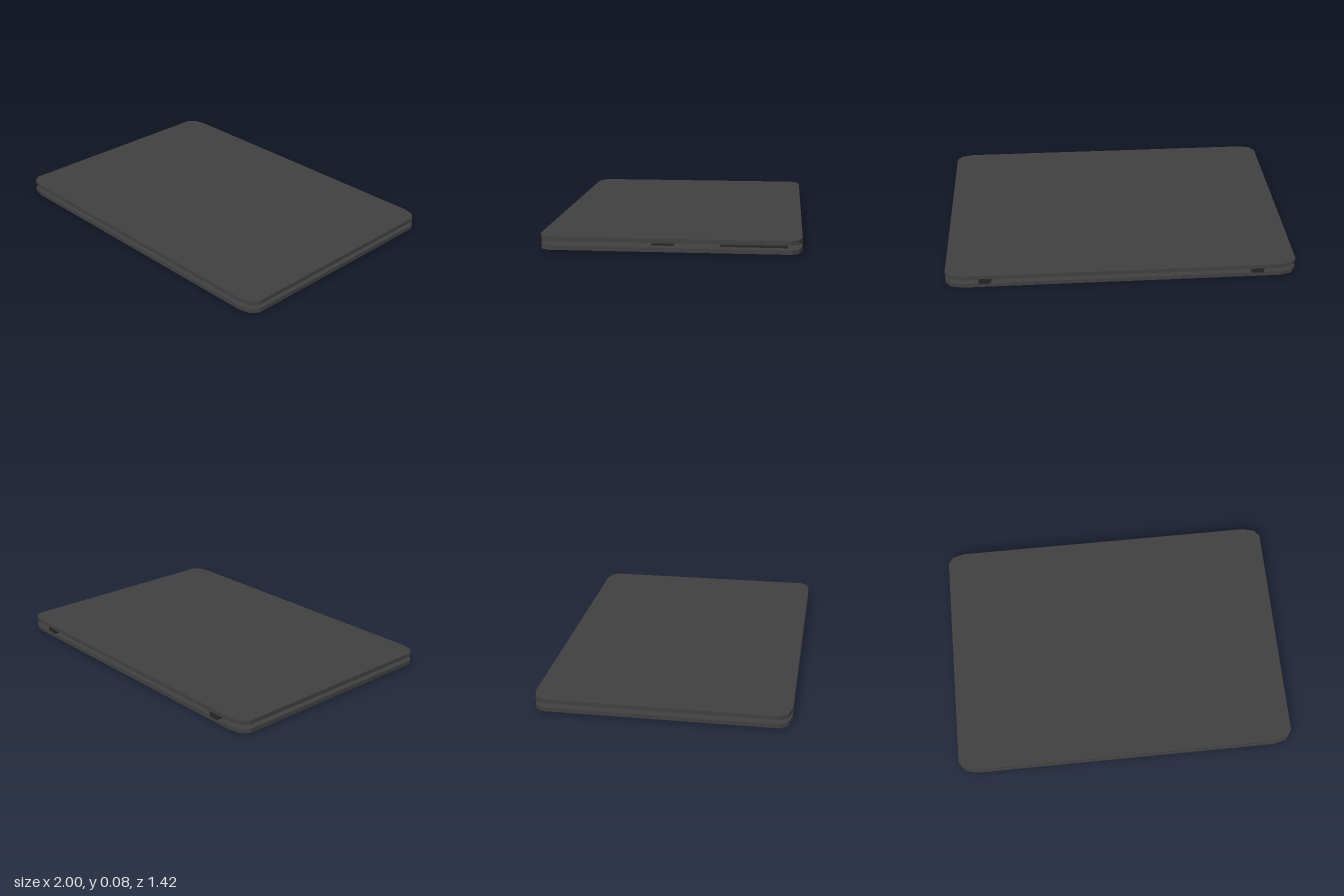
import * as THREE from 'three';

const casing = new THREE.MeshStandardMaterial({ color: 0x404040, flatShading: true });
const dark = new THREE.MeshStandardMaterial({ color: 0x262626, flatShading: true });

// Horizontal slab: an outline of [x, z] points extruded from y0 to y1
function slab(name, outline, y0, y1, material) {
  const shape = new THREE.Shape(outline.map(([x, z]) => new THREE.Vector2(x, -z)));
  const geo = new THREE.ExtrudeGeometry(shape, { depth: y1 - y0, bevelEnabled: false });
  geo.rotateX(-Math.PI / 2).translate(0, y0, 0);
  const mesh = new THREE.Mesh(geo, material);
  mesh.name = name;
  return mesh;
}

// Box given by its limits on each axis
function block(name, [x0, x1], [y0, y1], [z0, z1], material) {
  const geo = new THREE.BoxGeometry(x1 - x0, y1 - y0, z1 - z0);
  geo.translate((x0 + x1) / 2, (y0 + y1) / 2, (z0 + z1) / 2);
  const mesh = new THREE.Mesh(geo, material);
  mesh.name = name;
  return mesh;
}

// Rectangle with faceted corners
function caseOutline() {
  const corner = [[1, 0.65], [0.97, 0.69], [0.9, 0.708]];
  const flip = (sx, sz) => corner.map(([x, z]) => [x * sx, z * sz]);
  return [
    ...flip(1, 1), ...flip(-1, 1).reverse(),
    ...flip(-1, -1), ...flip(1, -1).reverse(),
  ];
}

export function createModel() {
  const laptop = new THREE.Group();
  laptop.name = 'laptop';

  // Base and closed lid
  laptop.add(slab('base', caseOutline(), 0.011, 0.035, casing));
  laptop.add(slab('lid', caseOutline(), 0.06, 0.084, casing));
  laptop.add(block('screen', [-0.9, 0.9], [0.0585, 0.062], [-0.6, 0.62], dark));

  // Hinges at the back edge
  for (const side of [-1, 1]) {
    const x = side * 0.775;
    laptop.add(block(side > 0 ? 'leftHinge' : 'rightHinge',
      [x - 0.035, x + 0.035], [0.03, 0.064], [-0.708, -0.68], dark));
  }

  // Main keyboard, tapering towards its top
  const keyboard = block('keyboard', [-0.93, 0.6], [0.03, 0.048], [-0.48, 0.1], dark);
  const pos = keyboard.geometry.attributes.position;
  for (let i = 0; i < pos.count; i++) {
    if (pos.getY(i) < 0.04) continue;
    pos.setX(i, pos.getX(i) > 0 ? 0.57 : -0.92);
    pos.setZ(i, pos.getZ(i) > 0 ? 0.095 : -0.465);
  }
  keyboard.geometry.computeVertexNormals();
  laptop.add(keyboard);

  // Key groups that pass right through the base
  laptop.add(block('functionRow', [-0.93, 0.6], [0, 0.041], [-0.63, -0.485], dark));
  laptop.add(block('numberPad', [0.63, 0.95], [0, 0.041], [-0.63, -0.27], dark));
  laptop.add(slab('arrowKeys', [
    [0.63, 0.1], [0.95, 0.1], [0.95, -0.02], [0.845, -0.02],
    [0.845, -0.14], [0.735, -0.14], [0.735, -0.02], [0.63, -0.02],
  ], 0, 0.041, dark));

  // Touchpad
  laptop.add(block('touchpad', [-0.5, 0.17], [0.03, 0.039], [0.18, 0.655], dark));

  return laptop;
}
